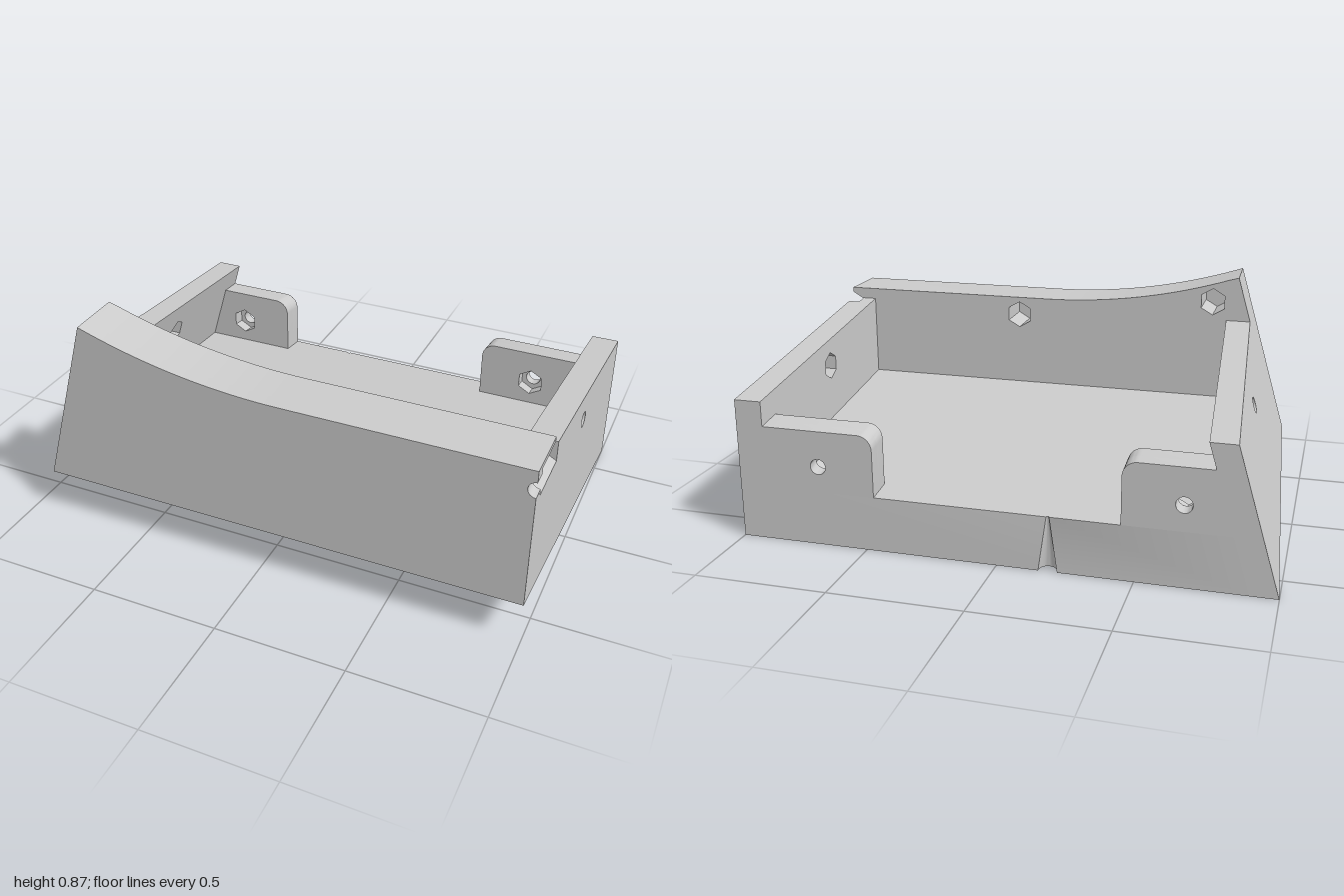
import * as THREE from 'three';
import { toCreasedNormals } from 'three/addons/utils/BufferGeometryUtils.js';

const BACK = -0.645, FRONT = 0.645, INNER = 0.43; // z of back, front, inner face of front wall
const HOLE = 0.03, HEX = 0.055;                   // bolt hole and nut pocket radii
const bottomY = z => 0.09 + 0.1395 * z;           // sloping underside
const outerX = (y, z) => -0.979 + 0.297 * y + 0.032 * z; // leaning end face

// points on an arc, counter-clockwise from a0 to a1
function arc(cx, cy, r, n, a0, a1) {
  return Array.from({ length: n + 1 }, (_, i) => {
    const a = a0 + (a1 - a0) * i / n;
    return [cx + r * Math.cos(a), cy + r * Math.sin(a)];
  });
}
const ring = (cx, cy, r, n) => arc(cx, cy, r, n, Math.PI / 2, Math.PI * 2.5).slice(0, -1);
const vectors = pts => pts.map(p => new THREE.Vector2(p[0], p[1]));

const material = new THREE.MeshStandardMaterial({ color: 0xcccccc });

// extrude an outline with holes from c0 to c1, then place each vertex by a rule
function plate(name, outline, holes, c0, c1, place) {
  const shape = new THREE.Shape(vectors(outline));
  holes.forEach(h => shape.holes.push(new THREE.Path(vectors(h))));
  const geo = new THREE.ExtrudeGeometry(shape, { depth: c1 - c0, bevelEnabled: false });
  geo.translate(0, 0, c0);
  const p = geo.attributes.position;
  for (let i = 0; i < p.count; i++) p.setXYZ(i, ...place(p.getX(i), p.getY(i), p.getZ(i)));
  geo.deleteAttribute('uv');
  const mesh = new THREE.Mesh(toCreasedNormals(geo, 0.6), material);
  mesh.name = name;
  return mesh;
}

export function createModel() {
  const model = new THREE.Group();
  model.name = 'slopedTray';

  // front wall: round holes in the outer layer, hexagonal pockets in the inner one
  const crest = [];
  for (let i = 0; i <= 24; i++) {
    const x = -0.7 + 0.8 * i / 24;
    crest.push([x, 0.735 + 2.44 - Math.sqrt(2.44 ** 2 - (x - 0.1) ** 2)]);
  }
  const frontLayer = (name, r, n, z0, z1) => plate(
    name,
    [[-0.9, 0.1], ...crest, [1, 0.735],
      ...arc(1, 0.66, r, n / 2, Math.PI / 2, Math.PI * 1.5), [1, 0.1]],
    [ring(-0.605, 0.765, r, n), ring(0.225, 0.66, r, n)], z0, z1,
    (x, y, z) => {
      if (y < 0.3) y = bottomY(z);
      if (x < -0.69) x = outerX(y, z);
      return [x, y, z];
    });
  model.add(frontLayer('frontWallOuter', HOLE, 24, 0.59, FRONT));
  model.add(frontLayer('frontWallInner', HEX, 6, INNER, 0.59));

  // floor, with a tapering cable groove at the back edge
  const gx = -0.19;
  model.add(plate(
    'floor',
    [[-0.9, -INNER], [0.895, -INNER], [0.895, -BACK],
      ...arc(gx, -BACK, 0.035, 12, 0, -Math.PI), [-0.9, -BACK]],
    [], 0, 1,
    (a, b, c) => {
      let x = a, z = -b;
      if (Math.abs(a - gx) < 0.05 && c > 0.5) {
        x = gx + (a - gx) * 0.15;
        z = BACK + (z - BACK) * 0.15;
      }
      const y = bottomY(z) + 0.21 * c;
      if (a < -0.8) x = outerX(y, z) + 0.098;
      return [x, y, z];
    }));

  // side walls, drawn in (-z, y)
  const top = z => bottomY(z) + 0.54;
  const side = [[-INNER, bottomY(INNER)], [-BACK, bottomY(BACK)], [-BACK, top(BACK)]];
  const fullSide = [...side, [-INNER, top(INNER)]];
  // corner of the straight wall is cut away for the nut pocket
  const notchedSide = [...side, [-0.38, top(0.38)], [-0.38, 0.6325], [-INNER, 0.6325]];
  const straight = (a, b, c) => [c, b, -a];
  const holeZ = 0.052;
  const cutFloor = (a, b, c) =>
    [c, c > 0.99 && a < -0.37 && Math.abs(b - 0.6325) < 1e-4 ? 0.605 : b, -a];
  model.add(plate('straightWallInner', fullSide, [ring(holeZ, 0.513, HEX, 6)], 0.895, 0.952, straight));
  model.add(plate('straightWallOuter', notchedSide, [ring(holeZ, 0.513, HOLE, 24)], 0.952, 1, cutFloor));

  const leaning = (a, b, c) => [outerX(b, -a) + c, b, -a];
  model.add(plate('leaningWallOuter', fullSide, [ring(holeZ, 0.49, HOLE, 24)], 0, 0.05, leaning));
  model.add(plate('leaningWallInner', fullSide, [ring(holeZ, 0.49, HEX, 6)], 0.05, 0.098, leaning));

  // back tabs with one rounded corner each
  const R = 0.055, tabTop = 0.445, base = 0.21;
  const shear = (x, y, z) => {
    y += 0.1395 * (z - BACK);
    if (x < -0.72) x = outerX(y, z) + 0.098;
    return [x, y, z];
  };
  const tabs = [
    ['leaningSideTab', -0.667, [[-0.8, base], [-0.45, base],
      ...arc(-0.45 - R, tabTop - R, R, 10, 0, Math.PI / 2), [-0.75, tabTop]]],
    ['straightSideTab', 0.68, [[0.465, base], [0.895, base], [0.895, tabTop],
      ...arc(0.465 + R, tabTop - R, R, 10, Math.PI / 2, Math.PI)]],
  ];
  for (const [name, x, outline] of tabs) {
    model.add(plate(name + 'Outer', outline, [ring(x, 0.308, HOLE, 24)], BACK, -0.595, shear));
    model.add(plate(name + 'Inner', outline, [ring(x, 0.308, HEX, 6)], -0.595, -0.54, shear));
  }
  return model;
}
